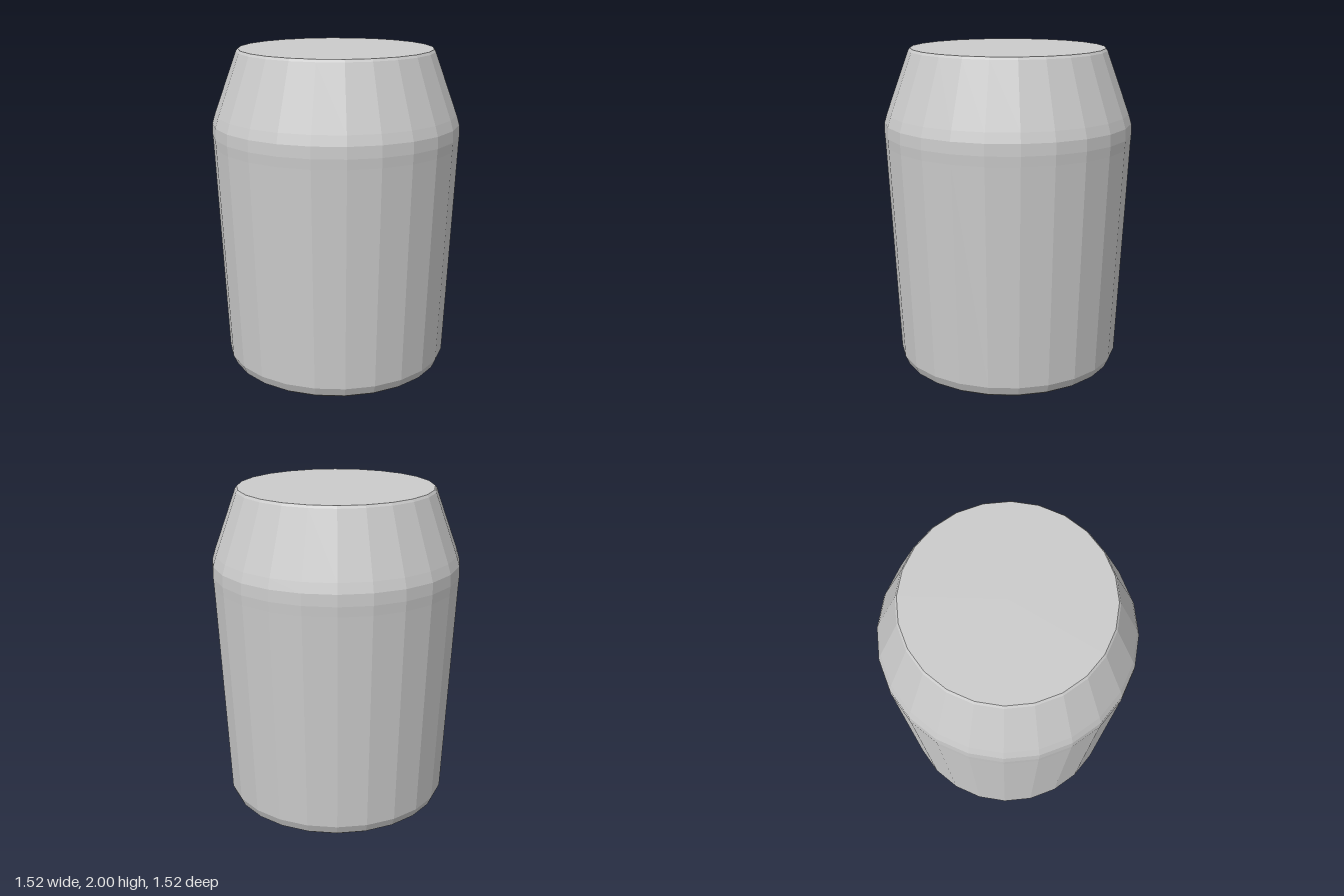
import * as THREE from 'three';

export function createModel() {
  const group = new THREE.Group();
  group.name = 'taperedJar';

  // Profile from base centre to lid centre: radius, height
  const profile = [
    [0, 0], [0.65, 0], [0.672, 0.015], [0.696, 0.07],
    [0.758, 1.42], [0.762, 1.48], [0.76, 1.55], [0.742, 1.61],
    [0.606, 1.985], [0.595, 2], [0, 2],
  ].map(([r, y]) => new THREE.Vector2(r, y));

  // Faceted body with a chamfered foot, sloping shoulder and flat top
  const body = new THREE.Mesh(
    new THREE.LatheGeometry(profile, 24),
    new THREE.MeshStandardMaterial({ color: 0xcccccc, flatShading: true }),
  );
  body.name = 'body';
  group.add(body);

  return group;
}
